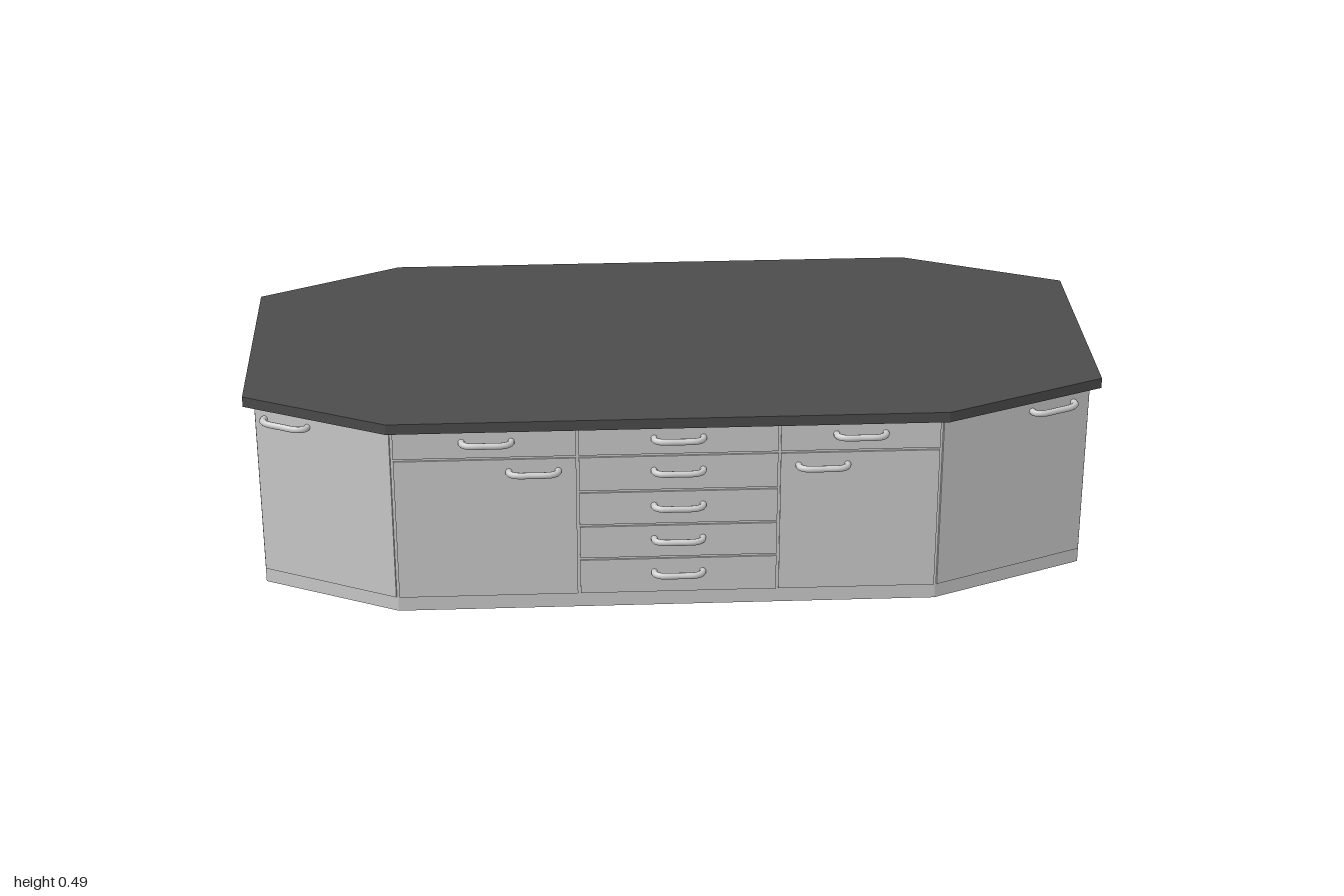
import * as THREE from 'three';

const grey = new THREE.MeshStandardMaterial({ color: 0xcccccc });
const dark = new THREE.MeshStandardMaterial({ color: 0x4c4c4c });

const PANEL = 0.004; // how far the fronts stand proud of the carcass
const GAP = 0.003;   // half the joint between neighbouring fronts
const Y0 = 0.037, Y1 = 0.46, DRAWER = 0.393; // front bottom, top, and top drawer joint
const HANDLE_Y = 0.437;

// Plan outlines as [x, z], anticlockwise from the front left corner
const bodyPlan = [[-0.65, 0.428], [0.6, 0.428], [0.965, 0.273], [0.965, -0.27],
  [0.6, -0.43], [-0.65, -0.43], [-0.967, -0.27], [-0.967, 0.273]];
const topPlan = [[-0.66, 0.443], [0.615, 0.443], [0.99, 0.283], [0.99, -0.28],
  [0.615, -0.446], [-0.66, -0.446], [-0.992, -0.28], [-0.992, 0.283]];

function slab(name, plan, y0, y1, material) {
  const shape = new THREE.Shape(plan.map(([x, z]) => new THREE.Vector2(x, z)));
  const geo = new THREE.ExtrudeGeometry(shape, { depth: y1 - y0, bevelEnabled: false });
  geo.rotateX(Math.PI / 2).translate(0, y1, 0);
  const mesh = new THREE.Mesh(geo, material);
  mesh.name = name;
  return mesh;
}

// Bowed bar handle whose two ends meet the panel
const handleCurve = new THREE.CatmullRomCurve3(
  [[-0.056, -0.002], [-0.055, 0.012], [-0.042, 0.022], [0, 0.024],
    [0.042, 0.022], [0.055, 0.012], [0.056, -0.002]].map(([x, z]) => new THREE.Vector3(x, 0, z)));
const handleGeo = new THREE.TubeGeometry(handleCurve, 28, 0.0075, 10);

function addHandle(side, x, y) {
  const mesh = new THREE.Mesh(handleGeo, grey);
  mesh.name = 'handle';
  mesh.position.set(x, y, PANEL);
  side.add(mesh);
}

function addPanel(side, name, x0, x1, y0, y1) {
  const geo = new THREE.BoxGeometry(x1 - x0 - 2 * GAP, y1 - y0, 2 * PANEL);
  const mesh = new THREE.Mesh(geo, grey);
  mesh.name = name;
  mesh.position.set((x0 + x1) / 2, (y0 + y1) / 2, 0);
  side.add(mesh);
}

// Group on one carcass face: local x runs along the face, local z points outward
function faceGroup(name, i) {
  const [ax, az] = bodyPlan[i], [bx, bz] = bodyPlan[(i + 1) % 8];
  const side = new THREE.Group();
  side.name = name;
  side.position.set(ax, 0, az);
  side.rotation.y = Math.atan2(az - bz, bx - ax);
  side.userData.length = Math.hypot(bx - ax, bz - az);
  return side;
}

// Long face: drawer stack in the middle, drawer over door at each end
function longFace(name, i) {
  const side = faceGroup(name, i);
  const c = Math.abs(bodyPlan[i][0]), end = side.userData.length, half = 0.23;
  const joints = [Y0, 0.127, 0.214, 0.302, DRAWER, Y1];
  const handles = [0.09, 0.178, 0.265, 0.355, HANDLE_Y];
  handles.forEach((y, k) => {
    addPanel(side, 'drawer', c - half, c + half, joints[k] + (k ? GAP : 0), joints[k + 1] - (k < 4 ? GAP : 0));
    addHandle(side, c, y);
  });
  for (const [x0, x1, drawerX, doorX] of [[0, c - half, -0.435, -0.33], [c + half, end, 0.415, 0.33]]) {
    addPanel(side, 'door', x0, x1, Y0, DRAWER - GAP);
    addPanel(side, 'topDrawer', x0, x1, DRAWER + GAP, Y1);
    addHandle(side, c + drawerX, HANDLE_Y);
    addHandle(side, c + doorX, 0.36);
  }
  return side;
}

// Angled corner face: one full-width door
function cornerFace(name, i, t) {
  const side = faceGroup(name, i), length = side.userData.length;
  addPanel(side, 'cornerDoor', 0, length, Y0, Y1);
  addHandle(side, length * t, HANDLE_Y);
  return side;
}

// End face: a narrower door framed by the carcass
function endFace(name, i) {
  const side = faceGroup(name, i), mid = side.userData.length / 2;
  addPanel(side, 'endDoor', mid - 0.187, mid + 0.187, Y0, Y1);
  addHandle(side, mid - 0.098, HANDLE_Y);
  return side;
}

export function createModel() {
  const model = new THREE.Group();
  model.name = 'kitchenIsland';
  model.add(
    slab('carcass', bodyPlan, 0, 0.465, grey),
    slab('countertop', topPlan, 0.465, 0.49, dark),
    longFace('frontFace', 0),
    cornerFace('frontLeftCorner', 1, 0.74),
    endFace('leftEnd', 2),
    cornerFace('backLeftCorner', 3, 0.23),
    longFace('backFace', 4),
    cornerFace('backRightCorner', 5, 0.72),
    endFace('rightEnd', 6),
    cornerFace('frontRightCorner', 7, 0.24),
  );
  return model;
}
